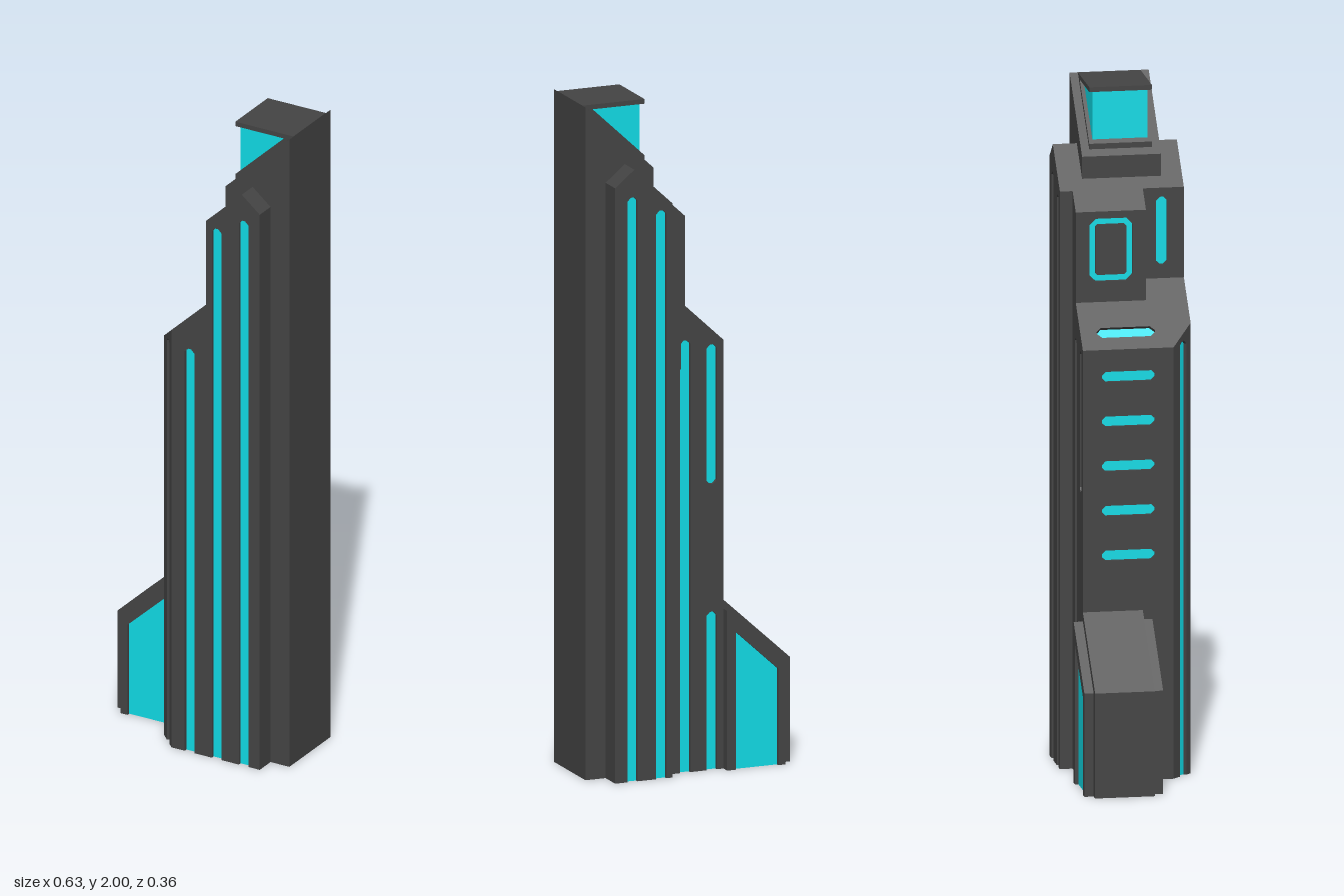
import * as THREE from 'three';

const D = 0.012; // depth of the window recesses
const S = 0.94;  // rise of all the sloping roofs
const wall = new THREE.MeshStandardMaterial({ color: 0x444444 });
const glass = new THREE.MeshStandardMaterial({ color: 0x10dbe6 });
const V = (x, y, z) => new THREE.Vector3(x, y, z);
const X = V(1, 0, 0), Y = V(0, 1, 0), Z = V(0, 0, 1);

const toShape = pts => new THREE.Shape(pts.map(p => new THREE.Vector2(p[0], p[1])));
const extrude = (shape, depth) => new THREE.ExtrudeGeometry(shape, { depth, bevelEnabled: false });

function addMesh(group, name, geometry, material = wall) {
  const mesh = new THREE.Mesh(geometry, material);
  mesh.name = name;
  group.add(mesh);
  return mesh;
}

// Solid with an x-y profile between two z positions
function prism(group, name, pts, z0, z1, material) {
  addMesh(group, name, extrude(toShape(pts), z1 - z0).translate(0, 0, z0), material);
}

// Window outline with clipped corners; square at the foot when it starts on the ground
function slot(u, v0, v1, w = 0.032, c = 0.011) {
  const a = u - w / 2, b = u + w / 2;
  const foot = v0 === 0 ? 0 : c;
  const pts = [[a, v0 + foot], [a, v1 - c], [a + c, v1], [b - c, v1], [b, v1 - c], [b, v0 + foot]];
  if (foot) pts.push([b - c, v0], [a + c, v0]);
  return pts;
}

// Cladding with recessed windows. The outline runs from its lower right corner round to
// its lower left; windows that reach the ground are cut as notches, others as holes.
function clad(group, name, origin, u, v, outline, windows) {
  const panel = new THREE.Group();
  panel.name = name;
  const notches = windows.filter(w => w[0][1] === 0);
  const shape = toShape([...outline, ...notches.flat()]);
  for (const w of windows) {
    if (!notches.includes(w)) shape.holes.push(new THREE.Path(toShape(w).getPoints()));
    addMesh(panel, 'windowGlass', extrude(toShape(w), 0.003).translate(0, 0, -D - 0.001), glass);
  }
  addMesh(panel, 'cladding', extrude(shape, D).translate(0, 0, -D));
  const n = new THREE.Vector3().crossVectors(u, v);
  panel.applyMatrix4(new THREE.Matrix4().makeBasis(u, v, n).setPosition(origin));
  group.add(panel);
}

export function createModel() {
  const tower = new THREE.Group();
  tower.name = 'tower';
  const lowRoof = x => 1.275 + S * (x + 0.105);
  const highRoof = x => 1.656 + S * (x - 0.016);

  // Tall plain spine with a sloping head
  prism(tower, 'spine', [[0.1, 0], [0.313, 0], [0.313, 2], [0.1, 1.8]], -0.112, 0.119);
  prism(tower, 'spineRaisedRoof', [[0.118, 1.78], [0.3, 1.95], [0.29, 1.995], [0.118, 1.833]], -0.088, 0.095);
  prism(tower, 'lanternGlass', [[0.129, 1.8], [0.29, 1.95], [0.29, 1.99], [0.129, 1.99]], -0.077, 0.084, glass);
  prism(tower, 'lanternRoof', [[0.118, 1.986], [0.312, 1.986], [0.312, 2], [0.118, 2]], -0.088, 0.095);

  // Wide main body with a ridge, split where the front half has a window in its side
  const ridge = [[0.25, 0], [0.25, 1.77], [0.19, highRoof(0.19)], [0.07, highRoof(0.07)]];
  prism(tower, 'bodyRear', [...ridge, [0.07, 0]], -0.182 + D, 0.06);
  prism(tower, 'bodyFront', [...ridge, [0.07, 1.693], [0.07 + D, 1.693], [0.07 + D, 0]], 0.06, 0.18 - D);
  clad(tower, 'bodySide', V(0.07, 0, 0), Z, Y,
    [[0.18, 1.4], [0.18, highRoof(0.07)], [0.06, highRoof(0.07)], [0.06, 1.4]],
    [slot(0.115, 1.48, 1.68)]);

  // Front and back cladding with tall window strips
  clad(tower, 'frontCladding', V(0, 0, 0.18), X, Y,
    [...ridge, [0.07, lowRoof(0.07)], [-0.045, lowRoof(-0.045)], [-0.045, 0]],
    [slot(0.015, 0, 1.285), slot(0.106, 0, 1.69), slot(0.196, 0, 1.737)]);
  clad(tower, 'backCladding', V(0, 0, -0.182), V(-1, 0, 0), Y,
    [[-0.07, 0], [-0.07, highRoof(0.07)], [-0.19, highRoof(0.19)], [-0.25, 1.77], [-0.25, 0]],
    [slot(-0.196, 0, 1.737), slot(-0.106, 0, 1.69)]);

  // Upper side block with a framed window
  const top = highRoof(0.016);
  prism(tower, 'upperBlock', [[0.1, 1.2], [0.1, highRoof(0.1)], [0.016, top], [0.016, 1.643],
    [0.016 + D, 1.643], [0.016 + D, 1.2]], -0.145, 0.06);
  clad(tower, 'upperBlockSide', V(0.016, 0, 0), Z, Y,
    [[0.06, 1.37], [0.06, top], [-0.145, top], [-0.145, 1.37]],
    [slot(-0.042, 1.45, 1.635, 0.125, 0.018)]);
  const inner = addMesh(tower, 'upperWindowPanel', extrude(toShape(slot(-0.042, 1.468, 1.617, 0.09, 0.006)), D - 0.003));
  inner.rotation.y = -Math.PI / 2;
  inner.position.x = 0.016 + D;

  // Lower block core: a plan with a clipped corner, its top tilted to the roof slope
  const plan = [[-0.105 + D, 0.145 - D], [0.09, 0.145 - D], [0.09, -0.18 + D], [-0.04, -0.18 + D], [-0.105 + D, -0.115]];
  const core = extrude(toShape(plan), 1).rotateX(-Math.PI / 2);
  const p = core.attributes.position;
  for (let i = 0; i < p.count; i++) if (p.getY(i) > 0.5) p.setY(i, lowRoof(p.getX(i)) - D * Math.hypot(1, S));
  core.computeVertexNormals();
  addMesh(tower, 'lowerBlock', core);

  // Lower block cladding: side, clipped corner, back and roof
  const eave = lowRoof(-0.105), slats = [];
  for (let i = 0; i < 5; i++) {
    const y = 1.195 - i * 0.132;
    slats.push(slot(-0.012, y - 0.015, y + 0.015, 0.155, 0.011));
  }
  clad(tower, 'lowerSide', V(-0.105, 0, 0), Z, Y,
    [[0.12, 0], [0.12, eave], [-0.145, eave], [-0.145, 0]], slats);
  clad(tower, 'clippedCorner', V(-0.105, 0, 0.12), V(Math.SQRT1_2, 0, Math.SQRT1_2), Y,
    [[0.085, 0], [0.085, lowRoof(-0.045)], [0, eave], [0, 0]], [slot(0.047, 0, 1.285)]);
  clad(tower, 'lowerBack', V(0, 0, -0.145), V(-1, 0, 0), Y,
    [[0.105, 0], [0.105, eave], [-0.07, lowRoof(0.07)], [-0.07, 0]],
    [slot(-0.015, 0, 1.285), slot(0.068, 0, 0.47), slot(0.068, 0.85, 1.265)]);
  const k = Math.hypot(1, S);
  clad(tower, 'lowerRoof', V(-0.105, eave, 0), Z, V(1 / k, S / k, 0),
    [[0.12, 0], [0.18, 0.06 * k], [0.18, 0.175 * k], [-0.145, 0.175 * k], [-0.145, 0]],
    [slot(-0.012, 0.042, 0.076, 0.17, 0.014)]);

  // Low entrance wing with a large sloping window on each side
  prism(tower, 'wing', [[-0.314, 0], [-0.09, 0], [-0.09, 0.516], [-0.105, 0.502], [-0.314, 0.31]].filter(q => q[1] !== 0.516), -0.145, 0.03);
  const edge = [[-0.105, 0], [-0.105, 0.475], [-0.288, 0.305], [-0.288, 0]];
  const pane = [[-0.265, 0], [-0.265, 0.287], [-0.132, 0.41], [-0.132, 0]];
  prism(tower, 'wingSides', edge, -0.172 + D, 0.058 - D);
  clad(tower, 'wingFront', V(0, 0, 0.058), X, Y, edge, [pane]);
  const flip = pts => pts.map(([x, y]) => [-x, y]).reverse();
  clad(tower, 'wingBack', V(0, 0, -0.172), V(-1, 0, 0), Y, flip(edge), [flip(pane)]);

  return tower;
}
